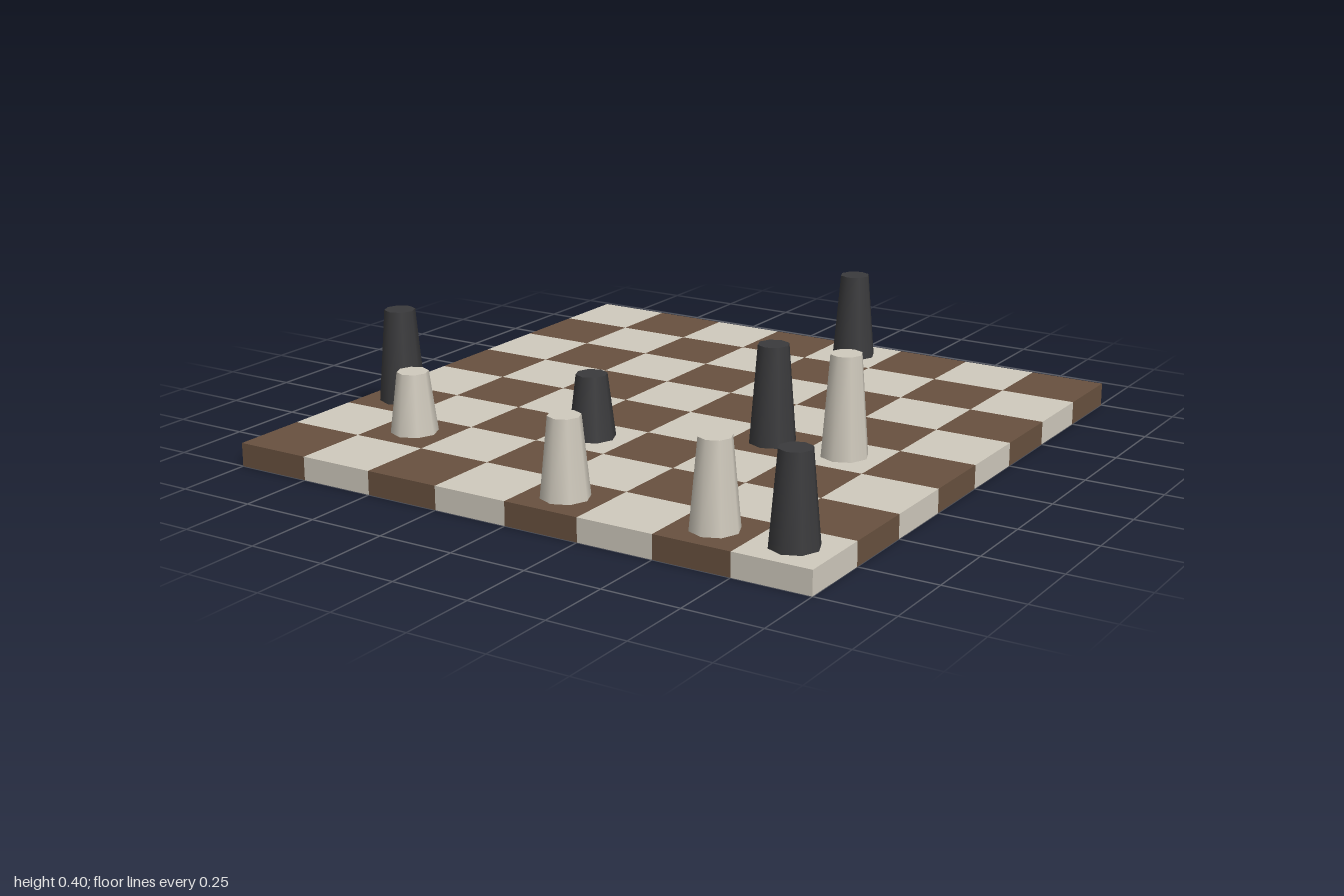
import * as THREE from 'three';

const BOARD_H = 0.075;
const CELL = 0.25;

const mat = (color) => new THREE.MeshStandardMaterial({ color });

// Centre of a board column or row, 0 to 7
const cell = (i) => -1 + CELL * (i + 0.5);

export function createModel() {
  const model = new THREE.Group();
  const cream = mat(0xd0cabd);
  const brown = mat(0x68513f);
  const black = mat(0x3a3a3c);

  // Board: 8 x 8 alternating square blocks
  const board = new THREE.Group();
  board.name = 'board';
  const squareGeo = new THREE.BoxGeometry(CELL, BOARD_H, CELL);
  for (let row = 0; row < 8; row++) {
    for (let col = 0; col < 8; col++) {
      const light = (row + col) % 2 === 0;
      const square = new THREE.Mesh(squareGeo, light ? cream : brown);
      square.name = light ? 'lightSquare' : 'darkSquare';
      square.position.set(cell(col), BOARD_H / 2, cell(row));
      board.add(square);
    }
  }
  model.add(board);

  // Pieces: tapered eight-sided pegs, [column, row, height]
  const addPieces = (name, material, list) => {
    const set = new THREE.Group();
    set.name = name + 's';
    for (const [col, row, h] of list) {
      const piece = new THREE.Mesh(new THREE.CylinderGeometry(0.05, 0.075, h, 8), material);
      piece.name = name;
      piece.position.set(cell(col), BOARD_H + h / 2, cell(row));
      set.add(piece);
    }
    model.add(set);
  };

  addPieces('darkPiece', black, [
    [0, 5, 0.303], [3, 5, 0.203], [5, 4, 0.312], [7, 7, 0.28], [4, 0, 0.287],
  ]);
  addPieces('lightPiece', cream, [
    [1, 6, 0.195], [6, 4, 0.32], [4, 7, 0.245], [6, 7, 0.27],
  ]);

  return model;
}
